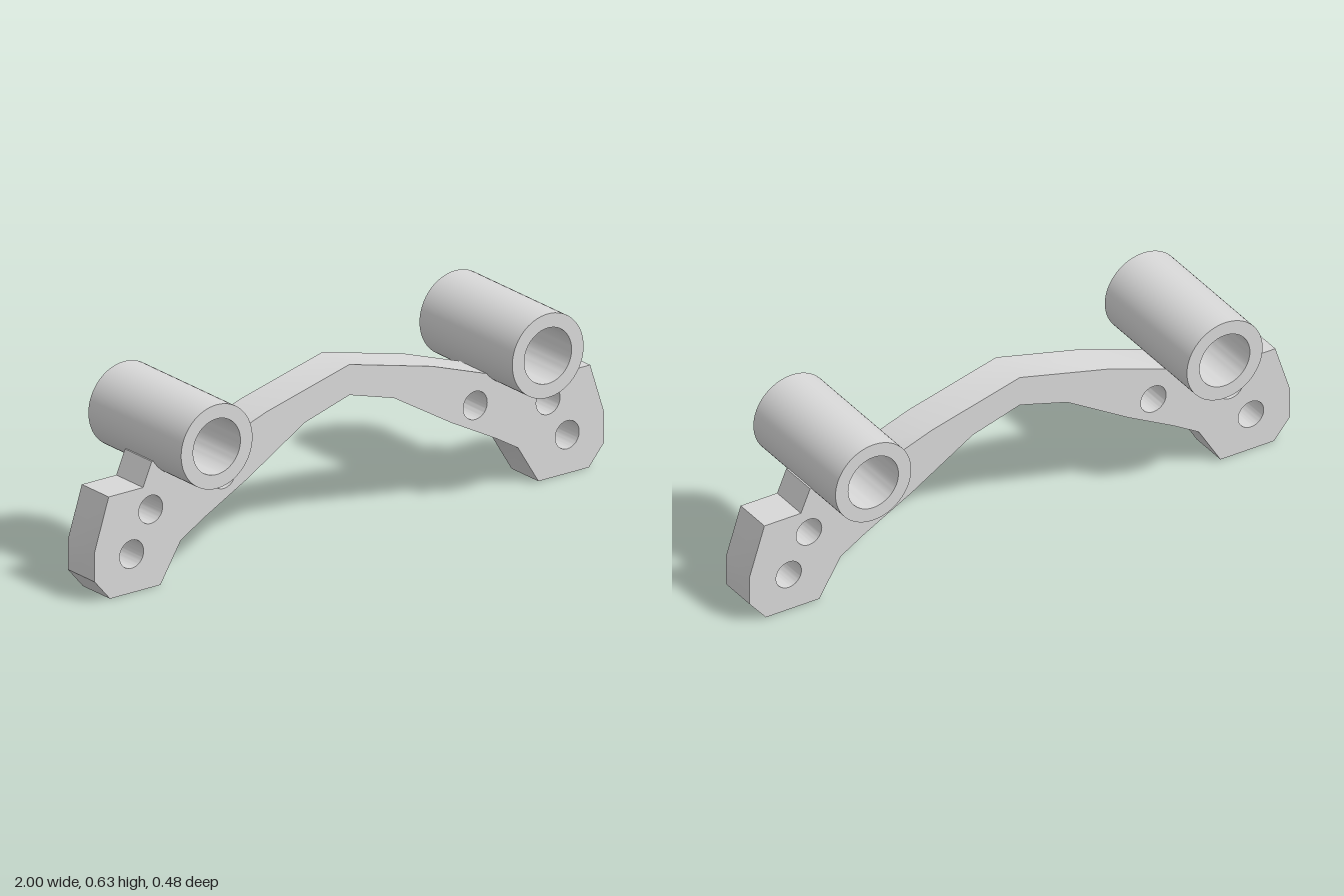
import * as THREE from 'three';
import { toCreasedNormals } from 'three/addons/utils/BufferGeometryUtils.js';

const TUBE = { x: 0.65, y: 0.492, outer: 0.14, inner: 0.093, length: 0.476 };
const PLATE_DEPTH = 0.138;
const HOLES = [[0.494, 0.311], [0.78, 0.261], [0.855, 0.129]];

// Extrude a shape centred on z, smooth on gentle bends and sharp at corners
function extrude(shape, depth) {
  const geometry = new THREE.ExtrudeGeometry(shape, { depth, bevelEnabled: false, curveSegments: 32 });
  geometry.translate(0, 0, -depth / 2);
  return toCreasedNormals(geometry, 0.52);
}

function circle(x, y, r) {
  return new THREE.Path().absarc(x, y, r, 0, Math.PI * 2, true);
}

// Points of the saddle that cradles a tube, sunk slightly into its wall
function saddle() {
  const points = [];
  const r = TUBE.outer - 0.01;
  for (let i = 0; i <= 24; i++) {
    const a = THREE.MathUtils.degToRad(225 + (100 * i) / 24);
    points.push([TUBE.x + r * Math.cos(a), TUBE.y + r * Math.sin(a)]);
  }
  return points;
}

export function createModel() {
  const group = new THREE.Group();
  const grey = new THREE.MeshStandardMaterial({ color: 0xd8d8d8 });
  grey.name = 'light grey';

  // Arched plate: half outline from the top centre round to the bottom centre
  const half = [
    [0, 0.563], [0.325, 0.481],
    ...saddle(),
    [0.776, 0.42], [0.81, 0.341], [0.945, 0.341], [1, 0.17], [1, 0.07], [0.94, 0],
    [0.742, 0], [0.662, 0.13], [0.575, 0.182], [0.4, 0.275], [0.175, 0.41], [0, 0.461],
  ];
  const mirrored = half.slice(1, -1).reverse().map(([x, y]) => [-x, y]);
  // Reversed to run counter-clockwise, opposite to the holes
  const points = [...half, ...mirrored].reverse().map(([x, y]) => new THREE.Vector2(x, y));
  const outline = new THREE.Shape(points);
  for (const side of [1, -1]) {
    for (const [x, y] of HOLES) outline.holes.push(circle(side * x, y, 0.047));
  }
  const plate = new THREE.Mesh(extrude(outline, PLATE_DEPTH), grey);
  plate.name = 'archedPlate';
  group.add(plate);

  // Hollow tubes running front to back
  const ring = new THREE.Shape().absarc(0, 0, TUBE.outer, 0, Math.PI * 2, false);
  ring.holes.push(circle(0, 0, TUBE.inner));
  const tubeGeometry = extrude(ring, TUBE.length);
  for (const [name, side] of [['leftTube', 1], ['rightTube', -1]]) {
    const tube = new THREE.Mesh(tubeGeometry, grey);
    tube.name = name;
    tube.position.set(side * TUBE.x, TUBE.y, 0);
    group.add(tube);
  }
  return group;
}
